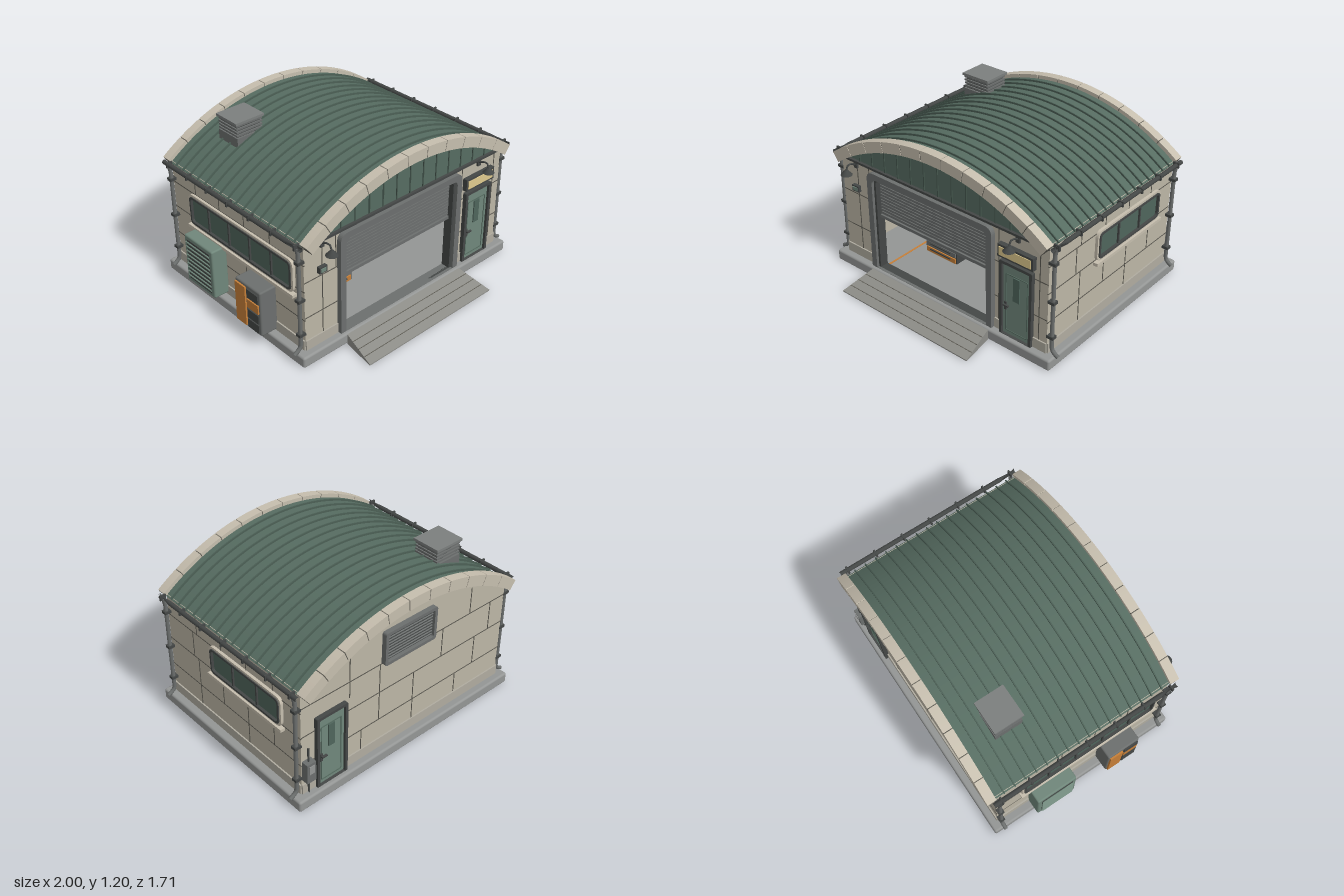
import * as THREE from 'three';
import { RoundedBoxGeometry } from 'three/addons/geometries/RoundedBoxGeometry.js';

const C = { wall: 0xbcb6a6, trim: 0xc6beae, green: 0x566c61, door: 0x70877b, glass: 0x4f655c, steel: 0x6c6f6e,
  dark: 0x444746, seam: 0x5c5a52, slab: 0x949695, ramp: 0x8d8d88, orange: 0xc67f38, sign: 0xdfca8e, wood: 0x8c8068 };
const mats = {};
const mat = c => mats[c] ??= new THREE.MeshStandardMaterial({ color: c });

function add(parent, name, geo, color, x = 0, y = 0, z = 0) {
  const m = new THREE.Mesh(geo, mat(color));
  m.name = name;
  m.position.set(x, y, z);
  parent.add(m);
  return m;
}
// Box given by its limits
const box = (p, name, c, x0, x1, y0, y1, z0, z1) => add(p, name, new THREE.BoxGeometry(x1 - x0, y1 - y0, z1 - z0), c,
  (x0 + x1) / 2, (y0 + y1) / 2, (z0 + z1) / 2);
const tube = (p, name, c, r, pts) => add(p, name, new THREE.TubeGeometry(
  new THREE.CatmullRomCurve3(pts.map(v => new THREE.Vector3(...v)), false, 'catmullrom', 0.2), pts.length * 5, r, 10), c);
function group(parent, name, x = 0, y = 0, z = 0, ry = 0) {
  const g = new THREE.Group();
  g.name = name;
  g.position.set(x, y, z);
  g.rotation.y = ry;
  parent.add(g);
  return g;
}
// Rectangle with top radius r and bottom radius b
function rounded(x0, x1, y0, y1, r, b = r, T = THREE.Shape) {
  const s = new T();
  s.moveTo(x0 + b, y0);
  s.lineTo(x1 - b, y0);
  if (b) s.quadraticCurveTo(x1, y0, x1, y0 + b);
  s.lineTo(x1, y1 - r);
  s.quadraticCurveTo(x1, y1, x1 - r, y1);
  s.lineTo(x0 + r, y1);
  s.quadraticCurveTo(x0, y1, x0, y1 - r);
  s.lineTo(x0, y0 + b);
  if (b) s.quadraticCurveTo(x0, y0, x0 + b, y0);
  return s;
}
const extrude = (s, depth, curveSegments = 8) => new THREE.ExtrudeGeometry(s, { depth, curveSegments, bevelEnabled: false });
function frame(p, name, c, x0, x1, y0, y1, t, z0, z1, r, open = false) {
  const s = rounded(x0, x1, y0, y1, r, open ? 0 : r);
  s.holes.push(rounded(x0 + t, x1 - t, open ? y0 + 0.002 : y0 + t, y1 - t, r * 0.7, open ? 0 : r * 0.7, THREE.Path));
  return add(p, name, extrude(s, z1 - z0), c, 0, 0, z0);
}

// Roof arc: centre height, and pieces swept between two angles from vertical
const CY = -0.35, HALF = 0.636, UP = Math.PI / 2;
function arcPiece(p, name, c, r0, r1, a0, a1, z0, z1, seg) {
  const s = new THREE.Shape();
  s.absarc(0, CY, r1, UP - a1, UP - a0, false);
  s.absarc(0, CY, r0, UP - a0, UP - a1, true);
  return add(p, name, extrude(s, z1 - z0, seg), c, 0, 0, z0);
}
function gable(r, y, x, bottom) {
  const s = new THREE.Shape(), a = Math.asin(x / r);
  if (bottom < y) { s.moveTo(-x, bottom); s.lineTo(x, bottom); }
  s.absarc(0, CY, r, UP - a, UP + a, false);
  return s;
}
// Thin panel joints on a wall: [x0, y0, x1, y1]
function seams(p, list) {
  for (const [x0, y0, x1, y1] of list)
    box(p, 'panelJoint', C.seam, x0 - 0.003, x1 + 0.003, y0 - 0.003, y1 + 0.003, -0.005, 0.0025);
}
function louvres(p, c, x0, x1, y0, y1, z, n) {
  for (let i = 0; i < n; i++) {
    const m = add(p, 'louvre', new THREE.BoxGeometry(x1 - x0, (y1 - y0) / n * 0.75, 0.008), c,
      (x0 + x1) / 2, y0 + (i + 0.5) * (y1 - y0) / n, z);
    m.rotation.x = 0.5;
  }
}
function personnelDoor(p, x0, x1, top) {
  const g = group(p, 'personnelDoor'), cx = (x0 + x1) / 2;
  frame(g, 'doorFrame', C.dark, x0, x1, 0.08, top, 0.02, 0, 0.03, 0.01, true);
  box(g, 'doorLeaf', C.door, x0 + 0.02, x1 - 0.02, 0.085, top - 0.02, 0, 0.012);
  frame(g, 'doorMoulding', C.green, x0 + 0.04, x1 - 0.04, 0.11, top - 0.09, 0.006, 0.012, 0.016, 0.01);
  box(g, 'doorWindow', C.glass, cx - 0.025, cx + 0.025, 0.36, top - 0.1, 0.01, 0.02);
  box(g, 'lockPlate', C.dark, x0 + 0.032, x0 + 0.05, 0.27, 0.33, 0.01, 0.02);
  box(g, 'doorHandle', C.dark, x0 + 0.035, x0 + 0.075, 0.305, 0.315, 0.02, 0.035);
}
function windowUnit(p, x0, x1, y0, y1, panes) {
  const g = group(p, 'window');
  frame(g, 'outerFrame', C.trim, x0, x1, y0, y1, 0.018, 0, 0.02, 0.05);
  frame(g, 'innerFrame', C.dark, x0 + 0.016, x1 - 0.016, y0 + 0.016, y1 - 0.016, 0.014, 0, 0.027, 0.035);
  add(g, 'glass', extrude(rounded(x0 + 0.02, x1 - 0.02, y0 + 0.02, y1 - 0.02, 0.03), 0.008), C.glass);
  for (let i = 1; i < panes; i++) {
    const x = x0 + (x1 - x0) * i / panes;
    box(g, 'mullion', C.dark, x - 0.006, x + 0.006, y0 + 0.02, y1 - 0.02, 0, 0.02);
  }
  box(g, 'sill', C.trim, x0 - 0.01, x1 + 0.01, y0 - 0.022, y0, 0, 0.035);
}
function lamp(p, x) {
  const g = group(p, 'wallLamp', x);
  box(g, 'lampMount', C.dark, -0.015, 0.015, 0.8, 0.85, 0, 0.015);
  tube(g, 'lampArm', C.dark, 0.006, [[0, 0.825, 0.01], [0, 0.845, 0.05], [0, 0.845, 0.08], [0, 0.815, 0.095]]);
  add(g, 'lampShade', new THREE.CylinderGeometry(0.01, 0.04, 0.035, 20), C.dark, 0, 0.8, 0.095);
  add(g, 'bulb', new THREE.SphereGeometry(0.016, 12, 8), C.sign, 0, 0.785, 0.095);
}
function drawers(p, name, x0, x1, y0, y1, z0, z1, n, body, color) {
  const g = group(p, name), h = (y1 - y0) / n;
  box(g, 'cabinetBody', body, x0, x1, y0, y1, z0, z1);
  for (let i = 0; i < n; i++) {
    box(g, 'drawer', color(i), x0 + 0.01, x1 - 0.01, y0 + i * h + 0.005, y0 + (i + 1) * h - 0.005, z1, z1 + 0.01);
    box(g, 'drawerHandle', C.dark, x0 + 0.05, x1 - 0.05, y0 + (i + 0.6) * h, y0 + (i + 0.6) * h + 0.008, z1, z1 + 0.018);
  }
}

export function createModel() {
  const root = new THREE.Group();
  root.name = 'workshop';
  const b = group(root, 'building', 0.03);

  // Slab and entrance ramp
  add(b, 'foundationSlab', new RoundedBoxGeometry(1.9, 0.08, 1.45, 3, 0.015), C.slab, 0, 0.04, -0.125);
  const rg = new THREE.BoxGeometry(1.05, 0.076, 0.25), rp = rg.attributes.position;
  for (let i = 0; i < rp.count; i++) if (rp.getZ(i) > 0) {
    rp.setX(i, rp.getX(i) * 1.076);
    if (rp.getY(i) > 0) rp.setY(i, -0.03);
  }
  rg.computeVertexNormals();
  add(b, 'ramp', rg, C.ramp, -0.065, 0.038, 0.725);
  for (const t of [0.25, 0.5, 0.75]) add(b, 'rampGroove', new THREE.BoxGeometry(1.05 * (1 + 0.07 * t), 0.002, 0.005), C.seam,
    -0.065, 0.076 - 0.068 * t, 0.6 + 0.25 * t).rotation.x = 0.265;

  // Wall faces: local x, y in the wall plane, z outward
  const front = group(b, 'frontWall', 0, 0, 0.54), back = group(b, 'backWall', 0, 0, -0.79, Math.PI);
  const right = group(b, 'rightWall', -0.885, 0, 0, -UP), left = group(b, 'leftWall', 0.885, 0, 0, UP);
  const fs = rounded(-0.885, 0.885, 0.08, 0.85, 0.001, 0);
  fs.holes.push(rounded(-0.59, 0.435, 0.081, 0.8, 0.05, 0, THREE.Path));
  add(front, 'frontPanel', extrude(fs, 0.05), C.wall, 0, 0, -0.05);
  add(back, 'backPanel', extrude(gable(1.47, 0.85, 0.885, 0.08), 0.04, 32), C.wall, 0, 0, -0.04);
  box(left, 'sidePanel', C.wall, -0.54, 0.79, 0.08, 0.87, -0.04, 0);
  box(right, 'sidePanel', C.wall, -0.79, 0.54, 0.08, 0.87, -0.04, 0);
  for (const [w, x0, x1] of [[front, -0.885, -0.62], [front, 0.47, 0.526], [front, 0.78, 0.885], [back, -0.885, -0.78],
    [back, -0.535, 0.885], [left, -0.54, 0.79], [right, -0.79, 0.54]]) box(w, 'plinth', C.slab === 0 ? 0 : 0xb0aca0, x0, x1, 0.08, 0.152, -0.01, 0.01);

  seams(front, [[-0.88, 0.59, -0.62, 0.59], [-0.88, 0.325, -0.62, 0.325], [-0.74, 0.15, -0.74, 0.84], [-0.63, 0.59, -0.63, 0.84],
    [0.47, 0.59, 0.88, 0.59], [0.47, 0.325, 0.88, 0.325], [0.5, 0.15, 0.5, 0.84], [0.82, 0.15, 0.82, 0.84], [-0.88, 0.838, 0.88, 0.838]]);
  seams(back, [[-0.88, 0.31, 0.88, 0.31], [-0.88, 0.53, 0.88, 0.53], [-0.88, 0.75, 0.88, 0.75], [-0.4, 0.15, -0.4, 0.31],
    [0.05, 0.15, 0.05, 0.53], [0.45, 0.15, 0.45, 0.31], [-0.25, 0.31, -0.25, 0.75], [0.3, 0.53, 0.3, 0.75], [0.62, 0.31, 0.62, 0.53],
    [0.55, 0.75, 0.55, 0.95], [-0.5, 0.63, -0.5, 0.95], [0.75, 0.53, 0.75, 0.75]]);
  for (const [w, s] of [[left, 1], [right, -1]]) {
    const v = (x, y0, y1) => [s * x, y0, s * x, y1], a = Math.min(-0.54 * s, 0.79 * s), e = a + 1.33;
    seams(w, [0.31, 0.525, 0.72].map(y => [a, y, e, y]).concat([v(-0.27, 0.525, 0.72), v(0.03, 0.72, 0.85), v(0.03, 0.31, 0.525),
      v(0.285, 0.72, 0.85), v(-0.225, 0.15, 0.525), v(0.285, 0.15, 0.525), v(0.54, 0.31, 0.525), v(-0.225, 0.72, 0.85), v(0.54, 0.72, 0.85)]));
  }

  // Roof shell, raised ribs and block-built end arches
  arcPiece(b, 'roofShell', C.green, 1.47, 1.505, -HALF, HALF, -0.8, 0.54, 48);
  for (let i = 0; i < 16; i++) arcPiece(b, 'roofRib', 0x4c6056, 1.5, 1.518, -HALF, HALF, 0.47 - i * 0.08, 0.478 - i * 0.08, 32);
  for (const [z0, z1] of [[0.535, 0.6], [-0.855, -0.79]]) {
    arcPiece(b, 'archCore', C.seam, 1.458, 1.527, -HALF, HALF, z0 + 0.003, z1 - 0.003, 40);
    for (let i = 0; i < 11; i++) {
      const a = -HALF + i * HALF * 2 / 11;
      arcPiece(b, 'archBlock', C.trim, 1.455, 1.532, a + 0.002, a + HALF * 2 / 11 - 0.002, z0, z1, 5);
    }
  }
  add(b, 'frontGable', extrude(gable(1.46, 0.85, 0.83, 0.85), 0.02, 32), C.green, 0, 0, 0.52);
  for (let i = -6; i <= 6; i++) {
    const x = i * 0.118, top = CY + Math.sqrt(1.455 ** 2 - x * x);
    box(b, 'gableBatten', 0x45574e, x - 0.004, x + 0.004, 0.85, top, 0.538, 0.546);
  }
  box(b, 'gableBeam', C.dark, -0.88, 0.88, 0.842, 0.858, 0.53, 0.56);

  // Gutters and downpipes on both sides
  for (const s of [-1, 1]) {
    tube(b, 'gutter', C.dark, 0.016, [[s * 0.927, 0.868, 0.57], [s * 0.927, 0.868, -0.82]]);
    for (let i = 0; i < 7; i++) box(b, 'gutterBracket', C.dark, s * 0.925 - 0.022, s * 0.925 + 0.022, 0.85, 0.888, 0.52 - i * 0.215, 0.532 - i * 0.215);
    for (const z of [0.525, -0.775]) {
      tube(b, 'downpipe', C.steel, 0.014, [[s * 0.925, 0.865, z], [s * 0.912, 0.8, z], [s * 0.912, 0.45, z], [s * 0.912, 0.13, z], [s * 0.93, 0.095, z], [s * 0.965, 0.075, z]]);
      for (const y of [0.2, 0.46, 0.74]) box(b, 'pipeClamp', C.dark, s * 0.907 - 0.025, s * 0.907 + 0.025, y, y + 0.02, z - 0.02, z + 0.02);
    }
  }

  // Roof ventilator
  const v = group(b, 'roofVentilator', -0.515, 0, -0.505);
  box(v, 'ventBase', C.steel, -0.105, 0.105, 1.0, 1.09, -0.1, 0.1);
  box(v, 'ventCore', C.dark, -0.095, 0.095, 1.09, 1.185, -0.085, 0.085);
  for (let i = 0; i < 4; i++) box(v, 'ventSlat', C.steel, -0.105, 0.105, 1.1 + i * 0.023, 1.112 + i * 0.023, -0.096, 0.096);
  box(v, 'ventCap', 0x7c7f7e, -0.115, 0.115, 1.187, 1.204, -0.105, 0.105);

  // Main opening with half-raised shutter
  frame(front, 'openingFrame', C.steel, -0.618, 0.467, 0.08, 0.83, 0.045, -0.05, 0.035, 0.06, true);
  frame(front, 'shutterTrack', C.dark, -0.578, 0.427, 0.08, 0.79, 0.022, -0.05, 0.015, 0.03, true);
  box(front, 'shutterSheet', C.dark, -0.57, 0.42, 0.49, 0.78, -0.045, -0.035);
  for (let i = 0; i < 12; i++) box(front, 'shutterSlat', C.steel, -0.56, 0.41, 0.502 + i * 0.023, 0.52 + i * 0.023, -0.04, -0.022);
  box(front, 'shutterBar', C.steel, -0.56, 0.41, 0.475, 0.498, -0.048, -0.012);

  // Front fittings
  personnelDoor(front, 0.526, 0.78, 0.635);
  const sign = group(front, 'signBox');
  box(sign, 'signCase', C.dark, 0.515, 0.79, 0.66, 0.75, 0, 0.035);
  box(sign, 'signPlate', C.sign, 0.53, 0.775, 0.675, 0.735, 0.03, 0.04);
  lamp(front, -0.745);
  lamp(front, 0.655);
  box(front, 'callBox', C.dark, -0.78, -0.72, 0.62, 0.665, 0, 0.025);
  box(front, 'callBoxFace', C.door, -0.77, -0.73, 0.63, 0.655, 0.02, 0.03);

  // Back fittings
  personnelDoor(back, -0.78, -0.535, 0.63);
  frame(back, 'ventFrame', C.steel, -0.24, 0.2, 0.745, 0.99, 0.022, 0, 0.035, 0.02);
  box(back, 'ventBack', C.dark, -0.23, 0.19, 0.755, 0.98, 0, 0.008);
  louvres(back, C.steel, -0.215, 0.175, 0.77, 0.965, 0.015, 9);
  box(back, 'meterBox', C.steel, -0.88, -0.81, 0.19, 0.34, 0, 0.05);
  box(back, 'meterFace', C.slab, -0.865, -0.825, 0.26, 0.32, 0.045, 0.055);
  tube(back, 'conduit', C.dark, 0.007, [[-0.845, 0.33, 0.02], [-0.845, 0.45, 0.02]]);
  tube(back, 'conduit', C.dark, 0.007, [[-0.845, 0.08, 0.02], [-0.845, 0.2, 0.02]]);

  // Side windows and service units
  windowUnit(left, -0.075, 0.635, 0.518, 0.74, 3);
  windowUnit(right, -0.6, 0.46, 0.48, 0.72, 5);
  const ac = group(right, 'airConditioner');
  add(ac, 'acCase', new RoundedBoxGeometry(0.305, 0.37, 0.12, 2, 0.012), C.door, -0.388, 0.285, 0.06);
  box(ac, 'acGrille', C.dark, -0.51, -0.265, 0.13, 0.44, 0.11, 0.122);
  louvres(ac, C.door, -0.51, -0.265, 0.135, 0.435, 0.124, 9);
  const gen = group(right, 'powerCabinet');
  add(gen, 'cabinetCase', new RoundedBoxGeometry(0.25, 0.34, 0.13, 2, 0.012), C.steel, 0.145, 0.26, 0.065);
  box(gen, 'cabinetDoor', C.orange, 0.03, 0.13, 0.11, 0.41, 0.12, 0.142);
  for (let i = 0; i < 4; i++) box(gen, 'cabinetVent', i === 2 ? C.orange : C.dark, 0.145, 0.255, 0.11 + i * 0.077, 0.175 + i * 0.077, 0.12, 0.14);

  // Workshop interior
  const w = group(b, 'interior');
  box(w, 'pegboard', C.wood, -0.57, 0.4, 0.33, 0.6, -0.75, -0.735);
  for (let i = 0; i < 3; i++) drawers(w, 'benchDrawers', -0.57 + i * 0.25, -0.33 + i * 0.25, 0.08, 0.3, -0.735, -0.52, 4, C.dark, () => C.steel);
  box(w, 'benchTop', C.wood, -0.58, 0.2, 0.3, 0.32, -0.735, -0.5);
  drawers(w, 'orangeCabinet', 0.17, 0.36, 0.08, 0.34, -0.73, -0.45, 5, C.orange, () => C.orange);
  drawers(w, 'islandCabinet', -0.465, -0.175, 0.08, 0.315, 0.0, 0.19, 5, C.dark, i => i ? C.steel : C.orange);
  box(w, 'islandTop', C.wood, -0.475, -0.165, 0.315, 0.335, -0.01, 0.205);
  for (let i = 0; i < 8; i++) box(w, 'hangingTool', i > 4 ? C.orange : C.slab, -0.43 + i * 0.085, -0.412 + i * 0.085, 0.395, 0.45, -0.735, -0.72);
  box(w, 'noteBoard', C.steel, -0.35, -0.29, 0.36, 0.41, -0.735, -0.725);
  for (const x of [-0.26, -0.21, -0.16]) box(w, 'partsBin', C.orange, x, x + 0.035, 0.32, 0.355, -0.7, -0.66);
  box(w, 'floorStripe', C.orange, -0.545, -0.53, 0.079, 0.082, 0.05, 0.49);
  return root;
}
